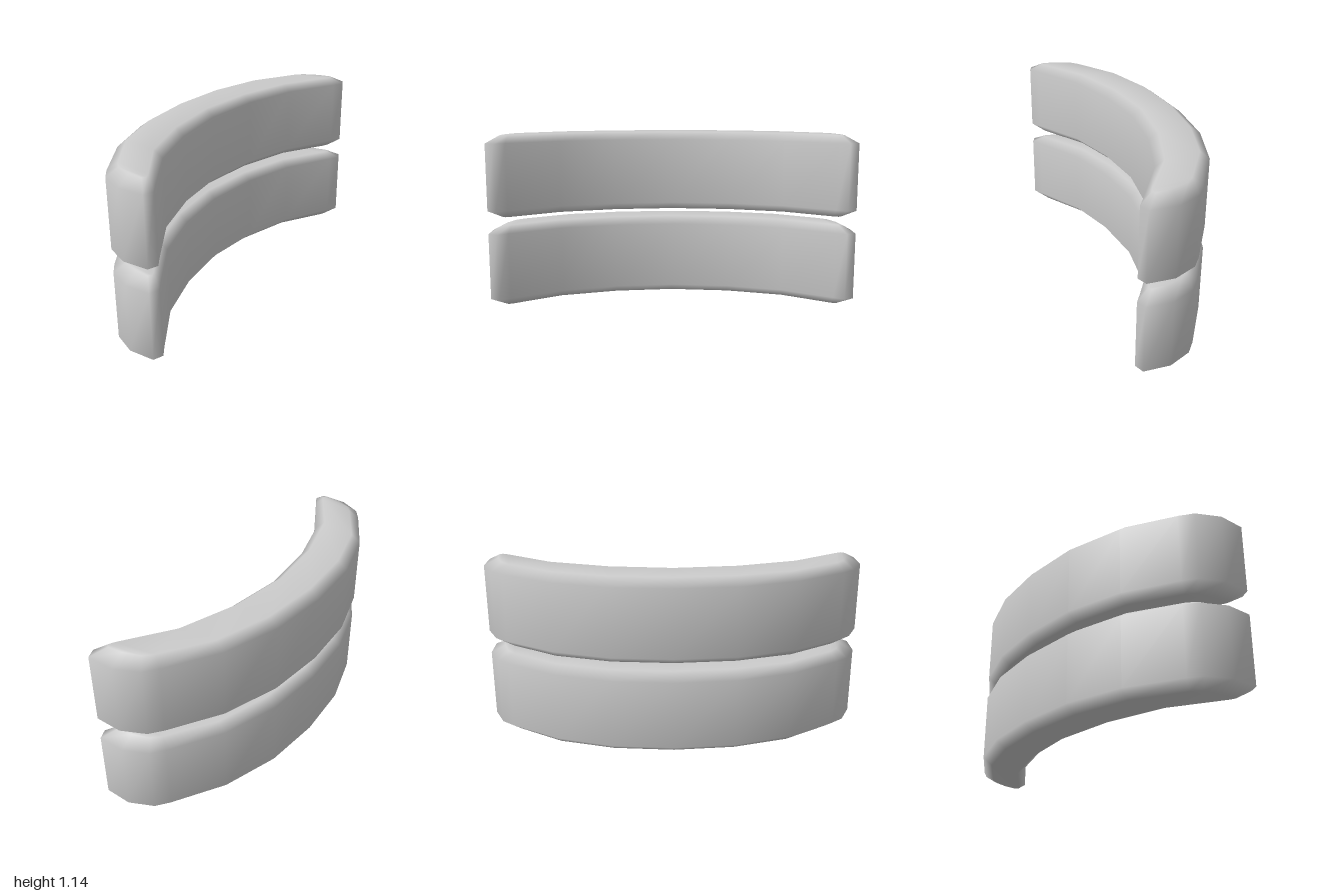
import * as THREE from 'three';

// Half of the plan, from mid outer side round one end to mid inner side:
// [wall x, wall z, bevelled top x, bevelled top z]
const HALF = [
  [-0.44, -0.39, -0.39, -0.345],
  [-0.67, -0.07, -0.615, -0.03],
  [-0.82, 0.28, -0.765, 0.305],
  [-0.88, 0.64, -0.815, 0.65],
  [-0.885, 0.74, -0.81, 0.72],
  [-0.82, 0.89, -0.755, 0.82],
  [-0.69, 1.0, -0.69, 0.89],
  [-0.63, 0.97, -0.665, 0.885],
  [-0.62, 0.89, -0.655, 0.85],
  [-0.56, 0.51, -0.61, 0.49],
  [-0.41, 0.16, -0.455, 0.125],
  [-0.19, -0.17, -0.23, -0.21],
];

// Mirror a plan point across the diagonal symmetry axis
function mirror(x, z) {
  const ex = 0.647, ez = -0.763;
  const d = 2 * (x * ex + z * ez - 0.01);
  return [x - d * ex, z - d * ez];
}

function curvedBarGeometry() {
  const mirrored = HALF.slice(1, -1).reverse()
    .map(([a, b, c, d]) => [...mirror(a, b), ...mirror(c, d)]);
  const loop = [...HALF, ...mirrored];
  const n = loop.length;
  const positions = [], indices = [];

  // Four rings: bottom face edge, lower wall, upper wall, top face edge
  const rings = [[0, 2], [0.05, 0], [0.495, 0], [0.545, 2]];
  for (const [y, o] of rings) {
    for (const p of loop) positions.push(p[o], y, p[o + 1]);
  }
  const quad = (a, b, c, d) => indices.push(a, b, c, a, c, d);

  // Walls and bevels
  for (let r = 0; r < 3; r++) {
    for (let i = 0; i < n; i++) {
      const j = (i + 1) % n;
      quad(r * n + i, r * n + j, (r + 1) * n + j, (r + 1) * n + i);
    }
  }
  // Top and bottom faces, as strips between outer and inner sides
  const at = (i) => (i + n) % n;
  for (let k = -5; k < 5; k++) {
    const [a, b, c, d] = [at(k), at(k + 1), at(10 - k), at(11 - k)];
    const t = 3 * n;
    quad(t + a, t + b, t + c, t + d);
    quad(d, c, b, a);
  }

  const geometry = new THREE.BufferGeometry();
  geometry.setAttribute('position', new THREE.Float32BufferAttribute(positions, 3));
  geometry.setIndex(indices);
  geometry.computeVertexNormals();
  return geometry;
}

export function createModel() {
  const group = new THREE.Group();
  group.name = 'curvedBars';
  const material = new THREE.MeshStandardMaterial({ color: 0xcccccc });
  const geometry = curvedBarGeometry();

  // Two identical bars stacked with a gap
  ['lowerBar', 'upperBar'].forEach((name, i) => {
    const bar = new THREE.Mesh(geometry, material);
    bar.name = name;
    bar.position.y = i * 0.6;
    group.add(bar);
  });
  return group;
}
